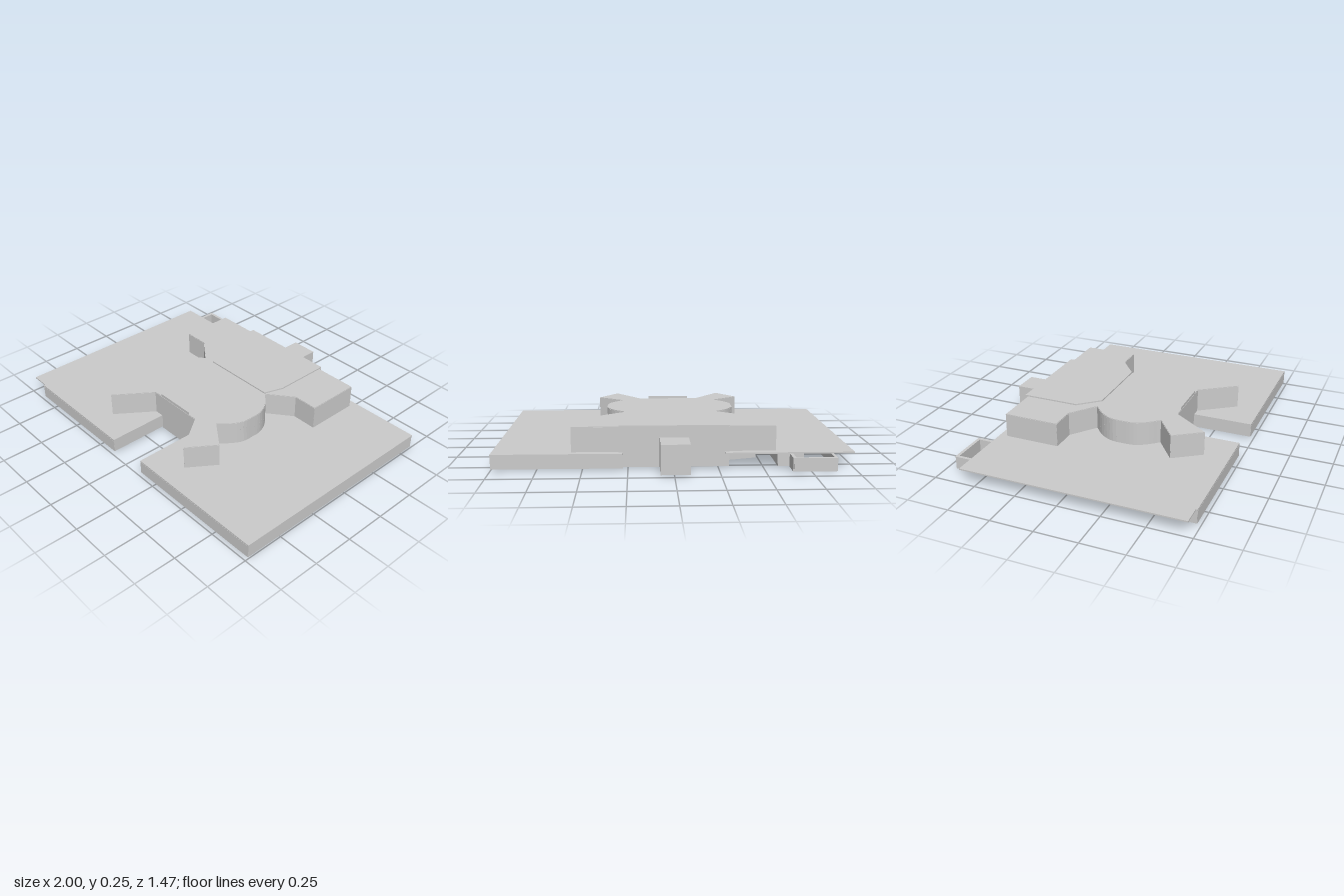
import * as THREE from 'three';

const grey = new THREE.MeshStandardMaterial({ color: 0xcccccc, side: THREE.DoubleSide });
const glass = new THREE.MeshStandardMaterial({ color: 0x1f3a4d, side: THREE.DoubleSide });
const LOW = 0.015, DECK = 0.09, ROOF = 0.24;

export function createModel() {
  const model = new THREE.Group();

  const add = (name, geometry, material = grey, parent = model) => {
    const mesh = new THREE.Mesh(geometry, material);
    mesh.name = name;
    parent.add(mesh);
  };

  // Upright sheet facing the front
  const sheet = (name, x0, x1, y0, y1, z, material) => {
    const g = new THREE.PlaneGeometry(x1 - x0, y1 - y0);
    add(name, g.translate((x0 + x1) / 2, (y0 + y1) / 2, z), material);
  };

  // Flat plate from an [x, z] outline
  const plate = (name, points, y0, y1) => {
    const shape = new THREE.Shape(points.map(([x, z]) => new THREE.Vector2(x, -z)));
    const g = new THREE.ExtrudeGeometry(shape, { depth: y1 - y0, bevelEnabled: false });
    add(name, g.rotateX(-Math.PI / 2).translate(0, y0, 0));
  };

  // Thin upright walls following an [x, z] path
  const walls = (name, points, y0 = LOW, y1 = DECK, t = 0.006) => {
    const group = new THREE.Group();
    group.name = name;
    model.add(group);
    for (let i = 1; i < points.length; i++) {
      const [ax, az] = points[i - 1], [bx, bz] = points[i];
      const g = new THREE.BoxGeometry(Math.hypot(bx - ax, bz - az) + t * 0.5, y1 - y0, t);
      g.rotateY(-Math.atan2(bz - az, bx - ax));
      g.translate((ax + bx) / 2, (y0 + y1) / 2, (az + bz) / 2);
      add(name + 'Panel', g, grey, group);
    }
  };

  const arc = (cx, cz, r, from, to, n = 14) => Array.from({ length: n + 1 }, (_, i) => {
    const a = from + (to - from) * i / n;
    return [cx + r * Math.cos(a), cz + r * Math.sin(a)];
  });

  // Left half of the raised hall, from front to back, with a bowed middle
  const bow = new THREE.CatmullRomCurve3(
    [[0.287, 0.31], [0.34, 0.25], [0.376, 0.185], [0.381, 0.115], [0.377, 0.045], [0.338, -0.03], [0.262, -0.10]]
      .map(([x, z]) => new THREE.Vector3(x, 0, z))
  ).getPoints(20).map(p => [p.x, p.z]);
  const half = [[0.178, 0.37], [0.332, 0.583], [0.442, 0.425], ...bow,
    [0.41, -0.215], [0.56, -0.215], [0.56, -0.54], [0.30, -0.54], [0.30, -0.555]];
  const otherHalf = half.map(([x, z]) => [-x - 0.008, z]);
  const outline = [...half, ...otherHalf.slice().reverse()];

  // Raised hall
  plate('hallRoof', outline, ROOF - 0.006, ROOF);
  walls('hallWall', [...outline, outline[0]], DECK, ROOF - 0.003, 0.004);
  plate('rearRoof', [[-0.31, -0.557], [-0.31, -0.22], [-0.2, -0.1], [0.262, -0.1], [0.3, -0.215], [0.3, -0.557]],
    ROOF, ROOF + 0.008);
  walls('rearWall', [[-0.308, -0.555], [0.30, -0.555]], LOW, ROOF, 0.004);
  add('rearAnnex', new THREE.BoxGeometry(0.16, 0.165, 0.18).translate(-0.005, 0.0975, -0.646));

  // Low deck, in two parts either side of the hall
  plate('leftDeck', [[0.122, 0.73], [0.122, 0.37], ...half.slice(0, -2),
    [0.28, -0.54], [0.28, -0.587], [1, -0.587], [1, 0.73]], DECK, DECK + 0.008);
  plate('rightDeck', [[-0.13, 0.73], [-0.13, 0.37], ...otherHalf.slice(0, -2),
    [-0.285, -0.54], [-0.285, -0.587], [-1, -0.587], [-1, 0.72], [-0.885, 0.72], [-0.885, 0.73]], DECK, DECK + 0.008);

  // Outer walls of the low storey
  walls('leftOuterWall', [[0.125, 0.37], [0.125, 0.728], [0.996, 0.728], [0.996, -0.582], [0.28, -0.582], [0.28, -0.555]]);
  walls('rightOuterWall', [[-0.133, 0.37], [-0.133, 0.728], [-0.882, 0.728], [-0.882, -0.582]]);
  walls('rearYardWall', [[-0.875, -0.582], [-0.875, -0.682], [-0.65, -0.682], [-0.65, -0.582]], LOW, DECK, 0.018);

  // Glazed entrance
  sheet('entranceWall', -0.13, 0.122, 0.005, 0.255, 0.37);
  for (const x of [-0.06, 0.055]) sheet('entranceGlass', x - 0.04, x + 0.04, 0.03, 0.2, 0.364, glass);
  walls('leftLobbyWall', [[0.122, 0.365], [0.122, 0.26], [0.18, 0.2]], LOW, ROOF - 0.006);
  walls('rightLobbyWall', [[-0.13, 0.365], [-0.13, 0.26], [-0.19, 0.2]], LOW, ROOF - 0.006);

  // Inner rooms on the left
  walls('leftRoomWall', [[0.45, 0.03], [0.83, 0.05], [0.83, -0.4], [0.36, -0.4]]);
  walls('leftCorridorWall', [[0.4, 0.12], [0.9, 0.12], [0.9, 0.62]]);
  walls('leftRearPassage', [[0.91, 0.05], [0.91, -0.49], [0.57, -0.49]]);

  // Inner rooms on the right
  walls('rightCorridorWall', [[-0.2, 0.12], [-0.83, 0.12]]);
  walls('rightClassWall', [[-0.56, 0.2], [-0.56, 0.6]]);
  walls('rightRoomWall', [[-0.58, -0.22], [-0.58, -0.56], [-0.72, -0.56], [-0.72, -0.4]]);
  walls('rightPassageWall', [[-0.5, -0.05], [-0.66, -0.2], [-0.87, -0.2]]);
  walls('rearRoomWall', [[-0.06, -0.46], [-0.3, -0.42], [-0.48, -0.36]]);

  // Curved counters and screens in the hall
  walls('roundCounter', arc(0.2, -0.27, 0.08, 0, Math.PI * 1.7), LOW, 0.07);
  walls('roundCounterInner', arc(0.2, -0.27, 0.05, 0, Math.PI * 1.7), LOW, 0.07);
  walls('curvedScreen', arc(-0.06, -0.08, 0.2, Math.PI * 0.85, Math.PI * 1.6));

  // Rows of stalls under the deck, each row running front to back
  const stalls = (name, x0, z0, rows, count) => {
    for (let r = 0; r < rows; r++) {
      const x = x0 + r * 0.11;
      walls(name + 'Back', [[x, z0], [x, z0 + count * 0.07]]);
      for (let i = 0; i <= count; i++) {
        const z = z0 + i * 0.07;
        walls(name + 'Divider', [[x, z], [x + 0.05, z]]);
      }
    }
  };
  stalls('leftStall', 0.4, 0.21, 5, 5);
  stalls('rightStall', -0.48, 0.21, 3, 5);

  // Long narrow racks on the right
  for (const z of [-0.07, 0.2]) for (const x of [-0.76, -0.7]) {
    walls('rack', [[x, z], [x + 0.04, z], [x + 0.04, z + 0.25], [x, z + 0.25], [x, z]], 0.05, DECK, 0.004);
  }

  return model;
}
